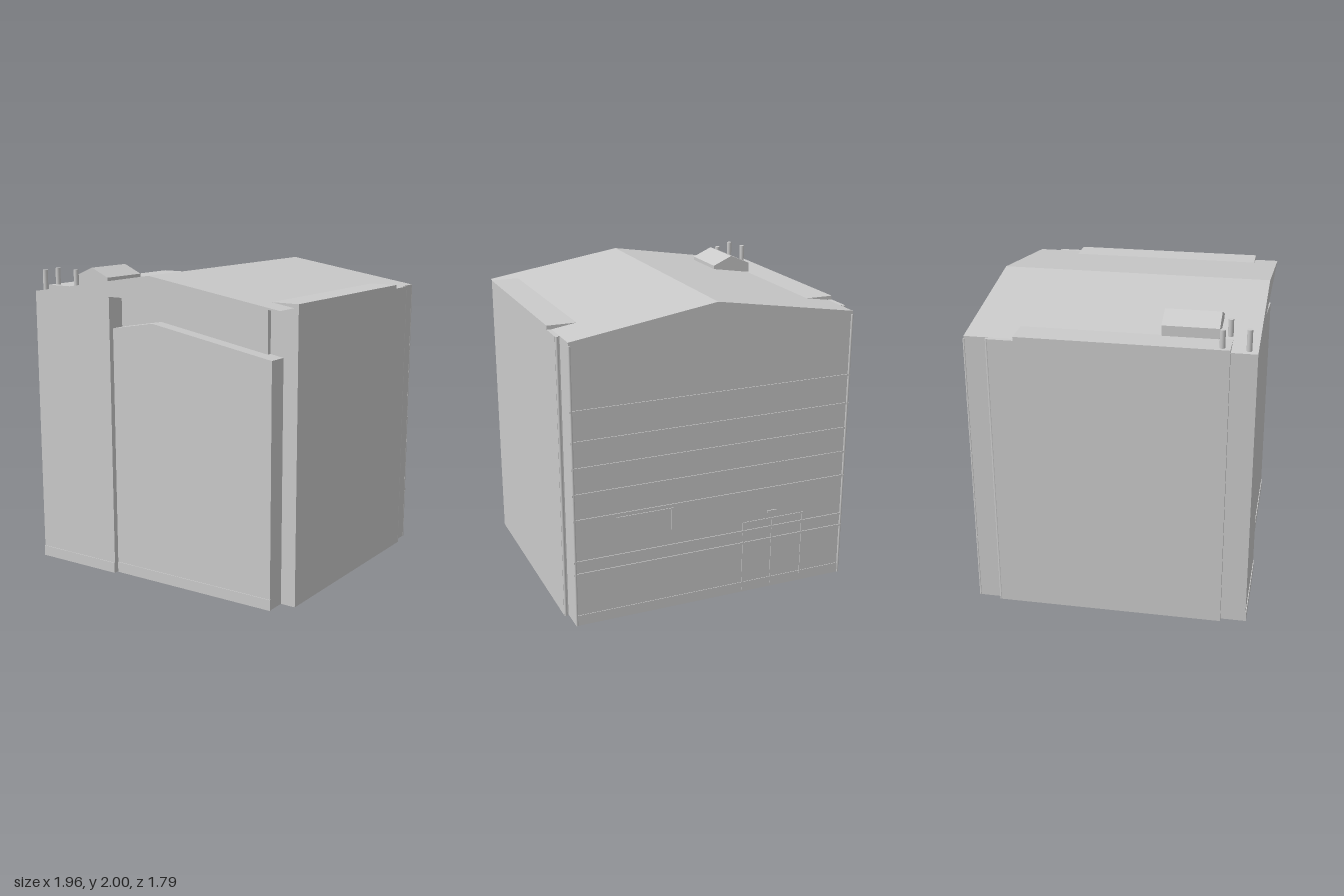
import * as THREE from 'three';

export function createModel() {
  const model = new THREE.Group();
  model.name = 'gabledBuilding';
  const grey = new THREE.MeshStandardMaterial({ color: 0xcacaca });
  grey.name = 'pale grey render';

  const add = (name, geometry) => {
    const mesh = new THREE.Mesh(geometry, grey);
    mesh.name = name;
    model.add(mesh);
    return mesh;
  };
  // Box given by its two limits on each axis
  const box = (name, x0, x1, y0, y1, z0, z1) =>
    add(name, new THREE.BoxGeometry(x1 - x0, y1 - y0, z1 - z0)
      .translate((x0 + x1) / 2, (y0 + y1) / 2, (z0 + z1) / 2));
  // Front outline carried along z
  const prism = (name, points, z0, z1) => {
    const shape = new THREE.Shape(points.map(p => new THREE.Vector2(...p)));
    return add(name, new THREE.ExtrudeGeometry(shape, { depth: z1 - z0, bevelEnabled: false })
      .translate(0, 0, z0));
  };
  const pipe = (name, x, z, r, y0, y1) =>
    add(name, new THREE.CylinderGeometry(r, r, y1 - y0, 12).translate(x, (y0 + y1) / 2, z));

  // Main body: wide middle, narrower back, recessed front wall
  box('mainBody', -0.98, 0.98, 0, 1.85, -0.73, 0.73);
  box('backBody', -0.95, 0.95, 0, 1.85, -0.885, -0.73);
  box('frontLeftWing', -0.95, -0.32, 0, 1.85, 0.73, 0.89);
  box('recessedWall', -0.32, 0.79, 0, 1.85, 0.73, 0.762);

  // Front bay with its own low gable
  prism('frontBay', [[-0.316, 0], [0.88, 0], [0.88, 1.55], [0, 1.7], [-0.316, 1.646]], 0.73, 0.86);

  // Shallow gable roof, projecting over the bay, and flat eaves on both sides
  prism('roof', [[-0.95, 1.85], [0.95, 1.85], [0, 2]], -0.885, 0.89);
  for (const s of [-1, 1]) {
    box('sideEaves', Math.min(s * 0.78, s * 0.98), Math.max(s * 0.78, s * 0.98), 1.84, 1.875, -0.57, 0.73);
    pipe('backDrainpipe', s * 0.97, -0.735, 0.01, 0, 1.85);
    pipe('cornerTrim', s * 0.944, -0.885, 0.008, 0, 1.83);
  }

  // Plinths
  box('wingPlinth', -0.952, -0.322, 0, 0.07, 0.88, 0.895);
  box('bayPlinth', -0.314, 0.883, 0, 0.07, 0.85, 0.865);
  box('backPlinth', -0.95, 0.95, 0, 0.07, -0.889, -0.88);

  // Thin string courses on the back wall, returning round the corners
  for (const y of [0.355, 0.44, 0.72, 0.89, 1.06, 1.23, 1.425]) {
    box('stringCourse', -0.953, 0.953, y - 0.007, y + 0.007, -0.891, -0.88);
  }

  // Back door frame, lamp and wall bracket
  for (const x of [-0.21, -0.42, -0.645]) {
    box('doorPost', x - 0.005, x + 0.005, 0, 0.5, -0.89, -0.88);
  }
  box('doorLintel', -0.65, -0.205, 0.495, 0.505, -0.89, -0.88);
  box('doorLamp', -0.45, -0.38, 0.545, 0.56, -0.892, -0.88);
  box('wallRail', 0.29, 0.67, 0.69, 0.7, -0.89, -0.88);
  box('wallRailPost', 0.29, 0.3, 0.55, 0.69, -0.89, -0.88);

  // Roof dormer
  prism('dormer', [[-0.805, 1.86], [-0.53, 1.86], [-0.53, 1.94], [-0.665, 2], [-0.805, 1.94]], 0.3, 0.65);

  // Chimney pipes
  for (const [x, z] of [[-0.94, 0.68], [-0.75, 0.71], [-0.91, 0.835]]) {
    pipe('chimneyPipe', x, z, 0.017, 1.84, 1.987);
  }
  return model;
}
